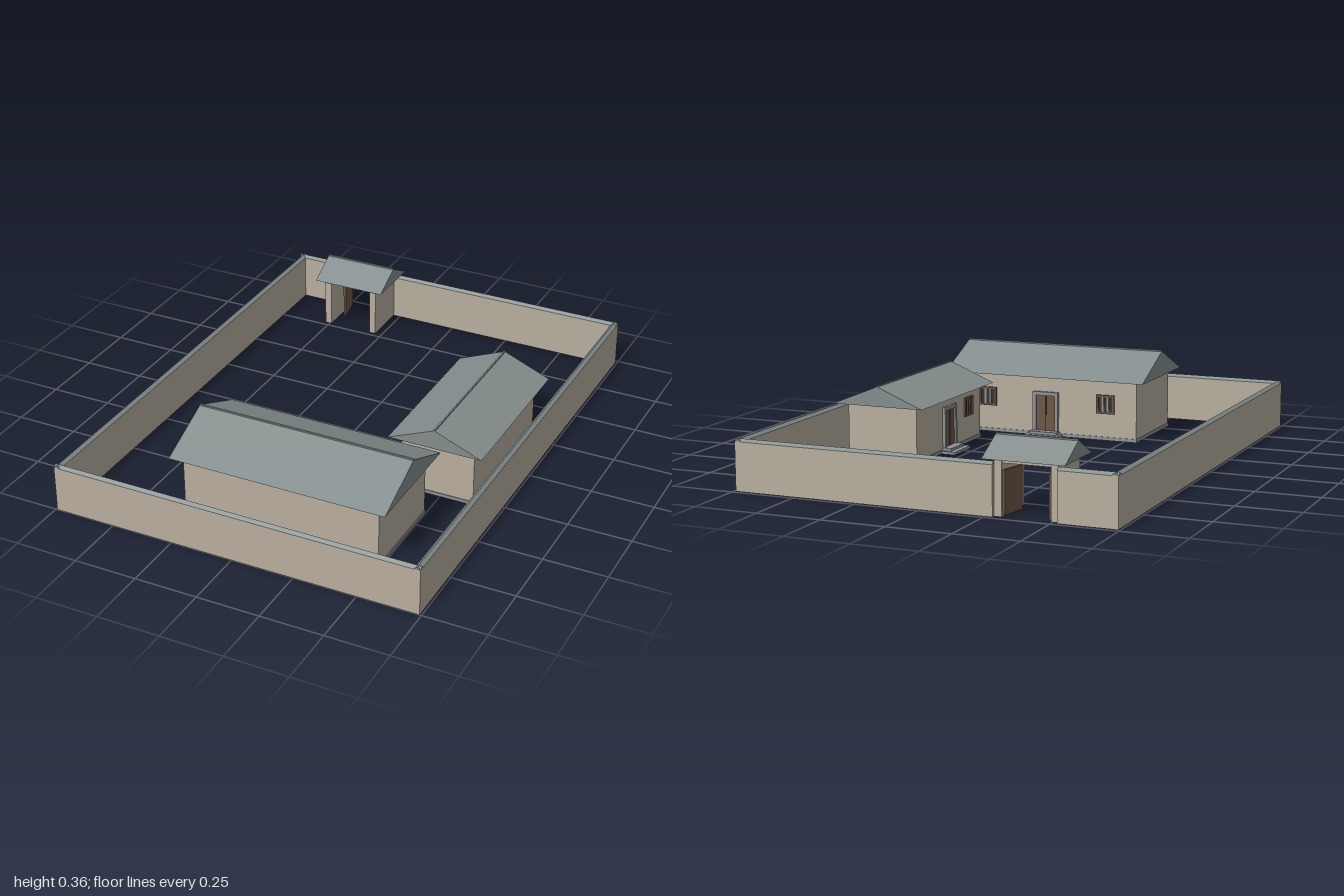
import * as THREE from 'three';

const mat = (name, color) => {
  const m = new THREE.MeshStandardMaterial({ color });
  m.name = name;
  return m;
};

export function createModel() {
  const root = new THREE.Group();
  root.name = 'walledCourtyard';
  const plaster = mat('plaster', 0xb8ae9f);
  const slate = mat('slate', 0x848d8d);
  const stone = mat('stone', 0x8b9194);
  const wood = mat('wood', 0x6b5546);
  const dark = mat('darkOpening', 0x35322f);

  // Box given by its minimum and maximum on each axis
  function box(parent, name, material, x0, x1, y0, y1, z0, z1) {
    const m = new THREE.Mesh(new THREE.BoxGeometry(x1 - x0, y1 - y0, z1 - z0), material);
    m.position.set((x0 + x1) / 2, (y0 + y1) / 2, (z0 + z1) / 2);
    m.name = name;
    parent.add(m);
    return m;
  }

  // Solid gabled prism over a rectangle, ridge along 'x' or 'z'
  function gable(parent, name, axis, x0, x1, y0, y1, z0, z1) {
    const alongX = axis === 'x';
    const w = (alongX ? z1 - z0 : x1 - x0) / 2;
    const len = alongX ? x1 - x0 : z1 - z0;
    const s = new THREE.Shape();
    s.moveTo(-w, 0);
    s.lineTo(w, 0);
    s.lineTo(0, y1 - y0);
    s.closePath();
    const g = new THREE.ExtrudeGeometry(s, { depth: len, bevelEnabled: false });
    g.translate(0, 0, -len / 2);
    const m = new THREE.Mesh(g, slate);
    if (alongX) m.rotation.y = Math.PI / 2;
    m.position.set((x0 + x1) / 2, y0, (z0 + z1) / 2);
    m.name = name;
    parent.add(m);
  }

  // Door with frame and steps; local +z points out of the wall
  function door(parent) {
    const g = new THREE.Group();
    g.name = 'door';
    box(g, 'doorLeaf', wood, -0.042, 0.042, 0.02, 0.17, 0, 0.005);
    box(g, 'leafSeam', dark, -0.002, 0.002, 0.02, 0.17, 0.004, 0.007);
    for (const s of [-1, 1]) {
      box(g, 'doorPost', stone, s * 0.049 - 0.007, s * 0.049 + 0.007, 0, 0.185, 0, 0.012);
    }
    box(g, 'doorLintel', stone, -0.056, 0.056, 0.17, 0.185, 0, 0.012);
    box(g, 'upperStep', stone, -0.06, 0.06, 0, 0.022, 0, 0.04);
    box(g, 'lowerStep', stone, -0.075, 0.075, 0, 0.011, 0, 0.062);
    parent.add(g);
    return g;
  }

  // Small barred window; local +z points out of the wall
  function windowUnit(parent) {
    const g = new THREE.Group();
    g.name = 'window';
    box(g, 'windowOpening', dark, -0.035, 0.035, 0.115, 0.185, 0, 0.003);
    for (const s of [-1, 1]) {
      box(g, 'windowJamb', wood, s * 0.035 - 0.004, s * 0.035 + 0.004, 0.111, 0.189, 0, 0.008);
      box(g, 'windowRail', wood, -0.035, 0.035, 0.15 + s * 0.035 - 0.004, 0.15 + s * 0.035 + 0.004, 0, 0.008);
      box(g, 'windowBar', stone, s * 0.011 - 0.004, s * 0.011 + 0.004, 0.118, 0.182, 0, 0.006);
    }
    parent.add(g);
    return g;
  }

  // Perimeter wall with gabled coping, gap at the back for the gate
  const wall = new THREE.Group();
  wall.name = 'perimeterWall';
  root.add(wall);
  const X = 0.743, ZF = 1, ZB = -0.985, T = 0.026, H = 0.185;
  const runs = [
    ['frontWall', 'x', -X, X, ZF - T, ZF],
    ['rightWall', 'z', -X, -X + T, ZB, ZF],
    ['leftWall', 'z', X - T, X, ZB, ZF],
    ['backWallRight', 'x', -X, -0.52, ZB, ZB + T],
    ['backWallLeft', 'x', -0.28, X, ZB, ZB + T],
  ];
  for (const [name, axis, x0, x1, z0, z1] of runs) {
    box(wall, name, plaster, x0, x1, 0, H, z0, z1);
    gable(wall, name + 'Coping', axis, x0, x1, H, H + 0.011, z0, z1);
  }

  // Main house, door and windows facing the courtyard at the back
  const main = new THREE.Group();
  main.name = 'mainHouse';
  root.add(main);
  box(main, 'mainPlinth', stone, -0.303, 0.498, 0, 0.014, 0.412, 0.813);
  box(main, 'mainWalls', plaster, -0.3, 0.495, 0.012, 0.252, 0.415, 0.81);
  gable(main, 'mainRoof', 'x', -0.34, 0.535, 0.25, 0.353, 0.37, 0.847);
  box(main, 'mainRidge', slate, -0.34, 0.535, 0.347, 0.357, 0.605, 0.612);
  const mainDoor = door(main);
  mainDoor.position.set(0.097, 0, 0.415);
  mainDoor.rotation.y = Math.PI;
  for (const x of [-0.166, 0.36]) {
    const w = windowUnit(main);
    w.position.set(x, 0, 0.415);
    w.rotation.y = Math.PI;
  }

  // Side house, door and window facing the courtyard
  const side = new THREE.Group();
  side.name = 'sideHouse';
  root.add(side);
  box(side, 'sidePlinth', stone, 0.337, 0.638, 0, 0.014, -0.313, 0.288);
  box(side, 'sideWalls', plaster, 0.34, 0.635, 0.012, 0.227, -0.31, 0.285);
  gable(side, 'sideRoof', 'z', 0.295, 0.677, 0.225, 0.303, -0.357, 0.32);
  box(side, 'sideRidge', slate, 0.483, 0.489, 0.298, 0.307, -0.357, 0.32);
  const sideDoor = door(side);
  sideDoor.position.set(0.34, 0, -0.02);
  sideDoor.rotation.y = -Math.PI / 2;
  const sideWindow = windowUnit(side);
  sideWindow.position.set(0.34, 0, 0.165);
  sideWindow.rotation.y = -Math.PI / 2;

  // Gatehouse with two leaves swung open inward
  const gate = new THREE.Group();
  gate.name = 'gatehouse';
  root.add(gate);
  for (const s of [-1, 1]) {
    const px = -0.4 + s * 0.106;
    box(gate, 'gatePier', plaster, px - 0.014, px + 0.014, 0, 0.208, -0.97, -0.77);
    const hinge = new THREE.Group();
    hinge.name = 'gateLeaf';
    hinge.position.set(-0.4 + s * 0.087, 0, -0.96);
    hinge.rotation.y = -s * 0.18;
    box(hinge, 'gateLeafPanel', wood, -0.005, 0.005, 0.005, 0.165, 0, 0.11);
    gate.add(hinge);
  }
  box(gate, 'gateLintel', plaster, -0.492, -0.308, 0.19, 0.207, -0.965, -0.945);
  gable(gate, 'gateRoof', 'x', -0.555, -0.245, 0.206, 0.272, -1, -0.748);
  box(gate, 'gateRidge', slate, -0.555, -0.245, 0.267, 0.276, -0.877, -0.871);

  return root;
}
